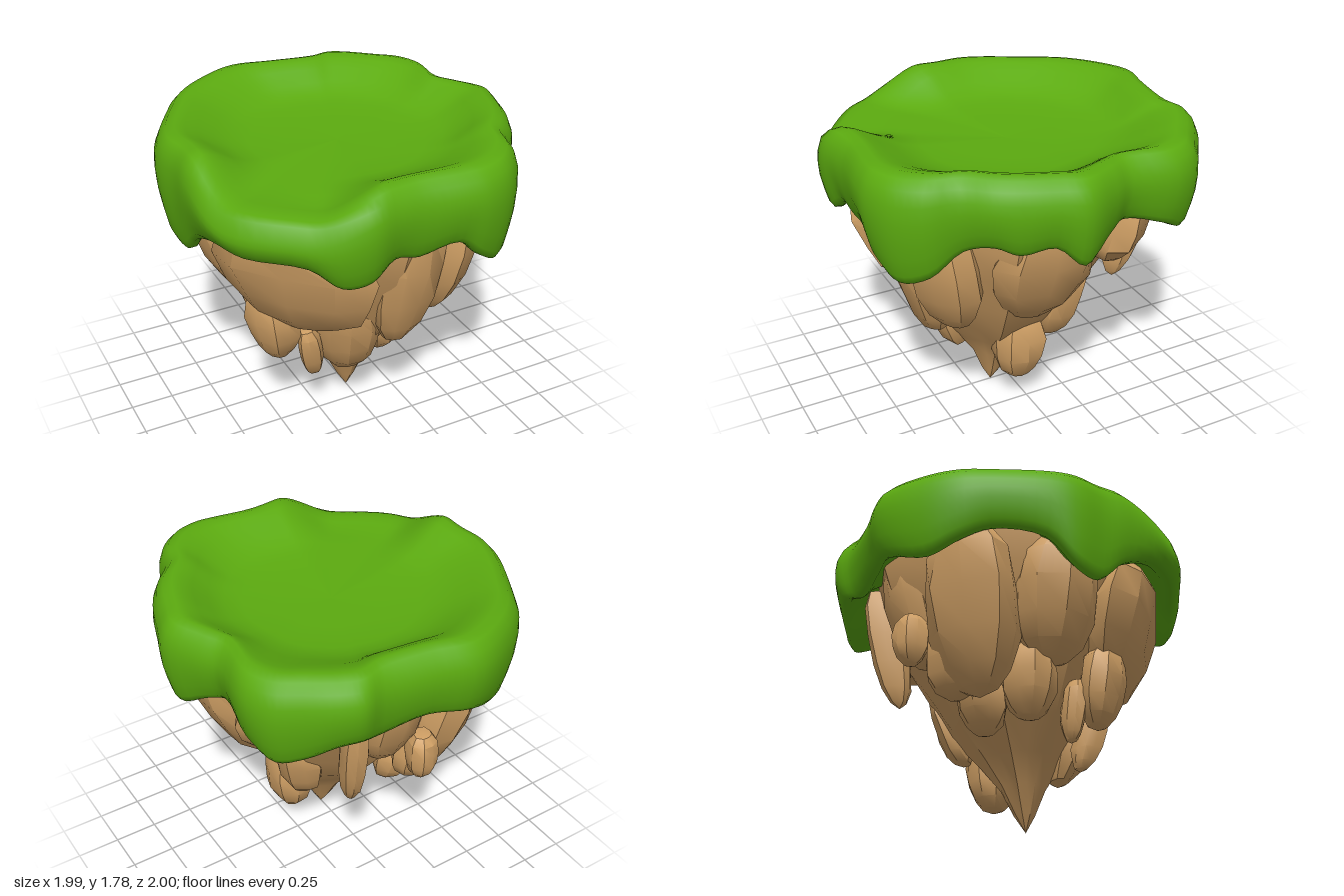
import * as THREE from 'three';
import { toCreasedNormals } from 'three/addons/utils/BufferGeometryUtils.js';

// closed skin over rows (top to bottom) of cols points; point(i, j) returns [x, y, z]
function loft(rows, cols, point) {
  const pos = [], index = [];
  for (let i = 0; i < rows; i++) {
    for (let j = 0; j < cols; j++) {
      pos.push(...point(i, j));
      if (i === rows - 1) continue;
      const k = (j + 1) % cols, a = i * cols + j, b = i * cols + k;
      index.push(a, b, a + cols, b, b + cols, a + cols);
    }
  }
  const g = new THREE.BufferGeometry();
  g.setAttribute('position', new THREE.Float32BufferAttribute(pos, 3));
  g.setIndex(index);
  g.computeVertexNormals();
  return g;
}

function seeded(seed) {
  let s = seed * 7919 + 13;
  return () => ((s = (s * 16807) % 2147483647) / 2147483647);
}

// outline of the grass: x, z and the height of the hanging hem there
const OUTLINE = [
  [0.995, 0.04, 1.27], [0.955, 0.2, 1.39], [0.89, 0.38, 1.36], [0.82, 0.5, 1.4], [0.71, 0.63, 1.36],
  [0.65, 0.8, 1.22], [0.53, 0.93, 1.17], [0.38, 0.99, 1.25], [0.24, 0.99, 1.36], [0, 0.965, 1.32],
  [-0.15, 0.975, 1.35], [-0.3, 0.995, 1.26], [-0.45, 0.95, 1.24], [-0.6, 0.85, 1.34], [-0.86, 0.63, 1.36],
  [-0.95, 0.44, 1.38], [-0.975, 0.2, 1.3], [-0.975, 0.03, 1.16], [-0.995, -0.14, 1.18], [-0.95, -0.32, 1.34],
  [-0.8, -0.6, 1.38], [-0.7, -0.75, 1.32], [-0.54, -0.88, 1.25], [-0.26, -1, 1.34], [0, -0.95, 1.38],
  [0.28, -0.92, 1.35], [0.42, -0.95, 1.38], [0.54, -0.9, 1.36], [0.68, -0.8, 1.28], [0.81, -0.7, 1.25],
  [0.875, -0.54, 1.33], [0.85, -0.28, 1.4], [0.91, -0.15, 1.36],
];

// grass cap: a bowl-shaped top, a puffy rim and a dripping skirt turned under at the hem
function grassGeometry() {
  const cols = 132;
  const edge = new THREE.CatmullRomCurve3(
    OUTLINE.map(([x, z, hem]) => new THREE.Vector3(x, hem, z)), true, 'centripetal').getPoints(cols);
  // [radius factor, zone, height offset or blend from rim to hem]
  const profile = [
    [0, 'floor', 0], [0.3, 'floor', 0.005], [0.5, 'floor', 0.015], [0.6, 'floor', 0.035], [0.69, 'floor', 0.075],
    [0.77, 'rim', -0.045], [0.83, 'rim', -0.015], [0.88, 'rim', 0], [0.93, 'rim', -0.015],
    [0.97, 'rim', -0.06], [0.995, 'mix', 0.1], [1, 'mix', 0.3], [0.995, 'mix', 0.5], [0.98, 'mix', 0.7],
    [0.96, 'mix', 0.9], [0.935, 'hem', 0], [0.9, 'hem', 0], [0.86, 'hem', 0.05], [0.6, 'hem', 0.2],
  ];
  return loft(profile.length, cols, (i, j) => {
    const p = edge[j], [f, kind, v] = profile[i];
    const angle = Math.atan2(p.z, p.x);
    // the rim sinks at the front corner on the -x side
    const dip = 1 - THREE.MathUtils.smoothstep(Math.abs(angle - 2.38), 0.2, 0.62);
    const rim = 1.77 + 0.012 * Math.sin(3 * angle) - 0.165 * dip;
    const top = rim - 0.09;
    const y = kind === 'floor' ? 1.6 + v * (1 - dip)
      : kind === 'rim' ? rim + v * (1 - 0.7 * dip)
        : kind === 'mix' ? top + (p.y - top) * v : p.y + v;
    // the inner bowl is rounder than the wavy outline
    const round = kind === 'hem' ? 0 : THREE.MathUtils.clamp((0.9 - f) * 3, 0, 0.8);
    const scale = f * (1 + (0.97 / Math.hypot(p.x, p.z) - 1) * round);
    return [p.x * scale, y, p.z * scale];
  });
}

// central rock: an uneven cone ending in a point
function coreGeometry() {
  const rows = [[1.5, 0.8], [1.3, 0.77], [1.05, 0.66], [0.8, 0.53], [0.58, 0.39], [0.4, 0.235], [0.25, 0.13], [0.1, 0.06], [0, 0]];
  const cols = 16, rand = seeded(5);
  const ridge = Array.from({ length: cols }, () => 0.92 + 0.14 * rand());
  return loft(rows.length, cols, (i, j) => {
    const [y, r] = rows[i], a = (j / cols) * Math.PI * 2;
    const R = r * ridge[j] * (0.97 + 0.06 * rand());
    return [R * Math.cos(a), y, R * Math.sin(a) + 0.12 * (1 - y / 1.5)];
  });
}

// hanging boulder centred on x, z, flattened against the core and leaning inward as it drops
const PROFILE = [[0, 0], [0.03, 0.55], [0.16, 0.86], [0.4, 1], [0.65, 0.94], [0.84, 0.7], [0.95, 0.4], [1, 0]];
function boulderGeometry([x, z, top, bottom, w, d, lean = 0.3], seed) {
  const cols = 9, rand = seeded(seed + 1), phi = Math.atan2(z - 0.05, x);
  const ux = Math.cos(phi), uz = Math.sin(phi);
  const ridge = Array.from({ length: cols }, () => 0.88 + 0.22 * rand());
  return loft(PROFILE.length, cols, (i, j) => {
    const [t, r] = PROFILE[i], a = (j / cols) * Math.PI * 2;
    const k = r * ridge[j] * (0.93 + 0.14 * rand());
    const out = k * d * Math.cos(a) + lean * (top - bottom) * (0.5 - t);
    const side = k * w * Math.sin(a);
    return [x + ux * out - uz * side, top + (bottom - top) * t, z + uz * out + ux * side];
  });
}

// x, z, top, bottom, half width, half depth, lean
const BOULDERS = [
  // upper tier
  [-0.48, 0.47, 1.5, 0.72, 0.46, 0.2, 0.25], [0.11, 0.62, 1.5, 0.54, 0.21, 0.16, 0.22], [0.38, 0.55, 1.45, 0.69, 0.2, 0.18, 0.22],
  [0.61, 0.11, 1.5, 0.73, 0.3, 0.18, 0.36], [0.54, -0.42, 1.46, 1.01, 0.32, 0.16, 0.25],
  [0.28, -0.64, 1.45, 0.69, 0.08, 0.12, 0.2], [0.02, -0.62, 1.5, 0.85, 0.2, 0.14], [-0.13, -0.7, 1.08, 0.77, 0.09, 0.1, 0],
  [-0.45, -0.49, 1.48, 0.56, 0.28, 0.18, 0.25], [-0.64, -0.08, 1.46, 0.76, 0.27, 0.17],
  // middle tier
  [-0.54, 0.28, 0.95, 0.47, 0.16, 0.12, 0.15], [-0.47, 0.14, 0.75, 0.39, 0.07, 0.08, 0.15], [-0.34, 0.33, 0.68, 0.3, 0.07, 0.09],
  [-0.12, 0.37, 0.9, 0.27, 0.18, 0.13, 0.3], [0.13, 0.48, 0.95, 0.58, 0.15, 0.13, 0.2], [0.34, -0.17, 0.94, 0.43, 0.15, 0.11],
  [-0.26, -0.5, 0.95, 0.58, 0.17, 0.13, 0.2], [-0.25, -0.32, 0.78, 0.42, 0.15, 0.13, 0.3], [-0.45, -0.13, 0.9, 0.48, 0.15, 0.13, 0.2],
  // lower tier
  [0.26, 0.06, 0.68, 0.17, 0.16, 0.15, 0.04],
];

export function createModel() {
  const grass = new THREE.MeshStandardMaterial({ color: 0x5cab10 });
  grass.name = 'grassGreen';
  const rock = new THREE.MeshStandardMaterial({ color: 0xd0a065 });
  rock.name = 'rockBrown';

  const model = new THREE.Group();
  model.name = 'floatingIsland';
  const add = (name, geometry, material, parent = model) => {
    const mesh = new THREE.Mesh(geometry, material);
    mesh.name = name;
    parent.add(mesh);
  };

  add('grassCap', grassGeometry(), grass);
  add('rockCore', toCreasedNormals(coreGeometry(), 0.5), rock);
  const boulders = new THREE.Group();
  boulders.name = 'hangingBoulders';
  model.add(boulders);
  BOULDERS.forEach((b, i) => add(`boulder${i + 1}`, toCreasedNormals(boulderGeometry(b, i), 0.55), rock, boulders));
  return model;
}
